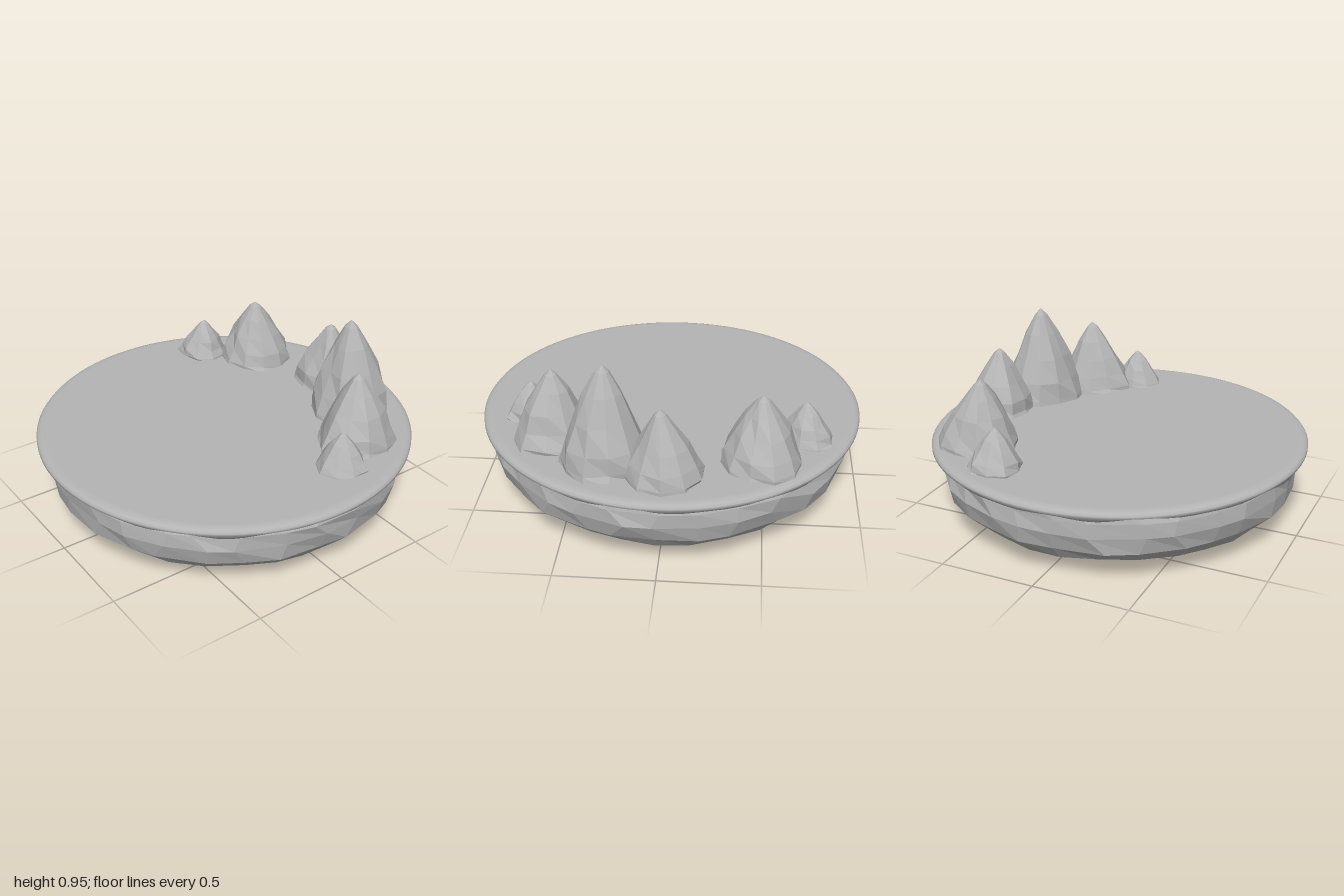
import * as THREE from 'three';

const stone = new THREE.MeshStandardMaterial({ color: 0xb4b4b4 });
stone.name = 'greyStone';

// Repeatable noise from a position, -1 to 1, identical for coincident corners
function noise(x, y, z, seed) {
  const r = (v) => Math.round(v * 1000);
  const s = Math.sin(r(x) * 12.9898 + r(y) * 78.233 + r(z) * 37.719 + seed * 4.17) * 43758.5453;
  return (s - Math.floor(s)) * 2 - 1;
}

const lathe = (profile, sides) =>
  new THREE.LatheGeometry(profile.map(([r, y]) => new THREE.Vector2(r, y)), sides);

function addMesh(group, name, geometry) {
  const mesh = new THREE.Mesh(geometry, stone);
  mesh.name = name;
  group.add(mesh);
  return mesh;
}

// Roughens a lathe: moves each corner by the rule, then facets it
function faceted(geometry, rule) {
  const p = geometry.attributes.position;
  const v = new THREE.Vector3();
  for (let i = 0; i < p.count; i++) {
    v.fromBufferAttribute(p, i);
    rule(v);
    p.setXYZ(i, v.x, v.y, v.z);
  }
  const flat = geometry.toNonIndexed();
  flat.computeVertexNormals();
  return flat;
}

// Shallow faceted bowl of rock below the slab
function rockBase() {
  const profile = [[0, 0.004], [0.42, 0.014], [0.7, 0.05], [0.85, 0.105],
    [0.925, 0.18], [0.95, 0.27], [0.945, 0.345], [0.925, 0.41]];
  return faceted(lathe(profile, 30), (v) => {
    const r = Math.hypot(v.x, v.z);
    if (r < 0.1) return;
    const k = 1 + 0.013 * noise(v.x, v.y, v.z, 1);
    const turn = 0.05 * noise(v.x, v.y, v.z, 2);
    v.applyAxisAngle(new THREE.Vector3(0, 1, 0), turn);
    v.x *= k;
    v.z *= k;
  });
}

// Smooth disc with a rounded lip whose lower edge droops unevenly
function topSlab() {
  const profile = [[0.9, 0.385], [0.955, 0.383], [0.985, 0.388], [0.998, 0.402], [0.998, 0.414],
    [0.988, 0.426], [0.97, 0.432], [0.945, 0.434], [0, 0.434]];
  const geometry = lathe(profile, 96);
  const p = geometry.attributes.position;
  for (let i = 0; i < p.count; i++) {
    const y = p.getY(i);
    if (y > 0.395) continue;
    const a = Math.atan2(p.getX(i), p.getZ(i));
    p.setY(i, y + 0.005 * Math.sin(a * 11) + 0.004 * Math.sin(a * 17 + 1) + 0.003 * Math.sin(a * 5));
  }
  return geometry;
}

// Craggy peak: bulging cone with ridges, leaning to its apex
function peak(radius, height, leanX, leanZ, sides, seed) {
  const profile = [[1, -0.03], [0.97, 0.06], [0.86, 0.24], [0.66, 0.48],
    [0.4, 0.73], [0.15, 0.93], [0, 1]].map(([r, t]) => [r * radius, t * height]);
  return faceted(lathe(profile, sides), (v) => {
    const a = Math.atan2(v.x, v.z);
    const ridge = 0.05 * Math.sin(a * 3 + seed) + 0.03 * Math.sin(a * 5 + seed * 2);
    const k = 1 + ridge + 0.07 * noise(v.x, v.y, v.z, seed);
    const t = Math.max(0, v.y / height);
    v.x = v.x * k + leanX * t;
    v.z = v.z * k + leanZ * t;
  });
}

export function createModel() {
  const model = new THREE.Group();
  model.name = 'rockyPlatform';
  addMesh(model, 'rockBase', rockBase());
  addMesh(model, 'topSlab', topSlab());

  // Arc of peaks along the back: x, z, radius, apex height, lean x, lean z, sides
  const peaks = new THREE.Group();
  peaks.name = 'peaks';
  const list = [
    [-0.71, -0.35, 0.14, 0.64, 0.01, 0, 9],
    [-0.48, -0.58, 0.205, 0.785, 0, 0.02, 11],
    [-0.02, -0.735, 0.19, 0.785, 0.02, 0.005, 10],
    [0.29, -0.63, 0.225, 0.952, -0.01, 0.01, 11],
    [0.57, -0.425, 0.205, 0.818, -0.01, -0.01, 10],
    [0.715, -0.21, 0.13, 0.625, 0, 0, 9],
  ];
  list.forEach(([x, z, radius, top, lx, lz, sides], i) => {
    const mesh = addMesh(peaks, `peak${i + 1}`, peak(radius, top - 0.43, lx, lz, sides, i + 3));
    mesh.position.set(x, 0.43, z);
  });
  model.add(peaks);
  return model;
}
